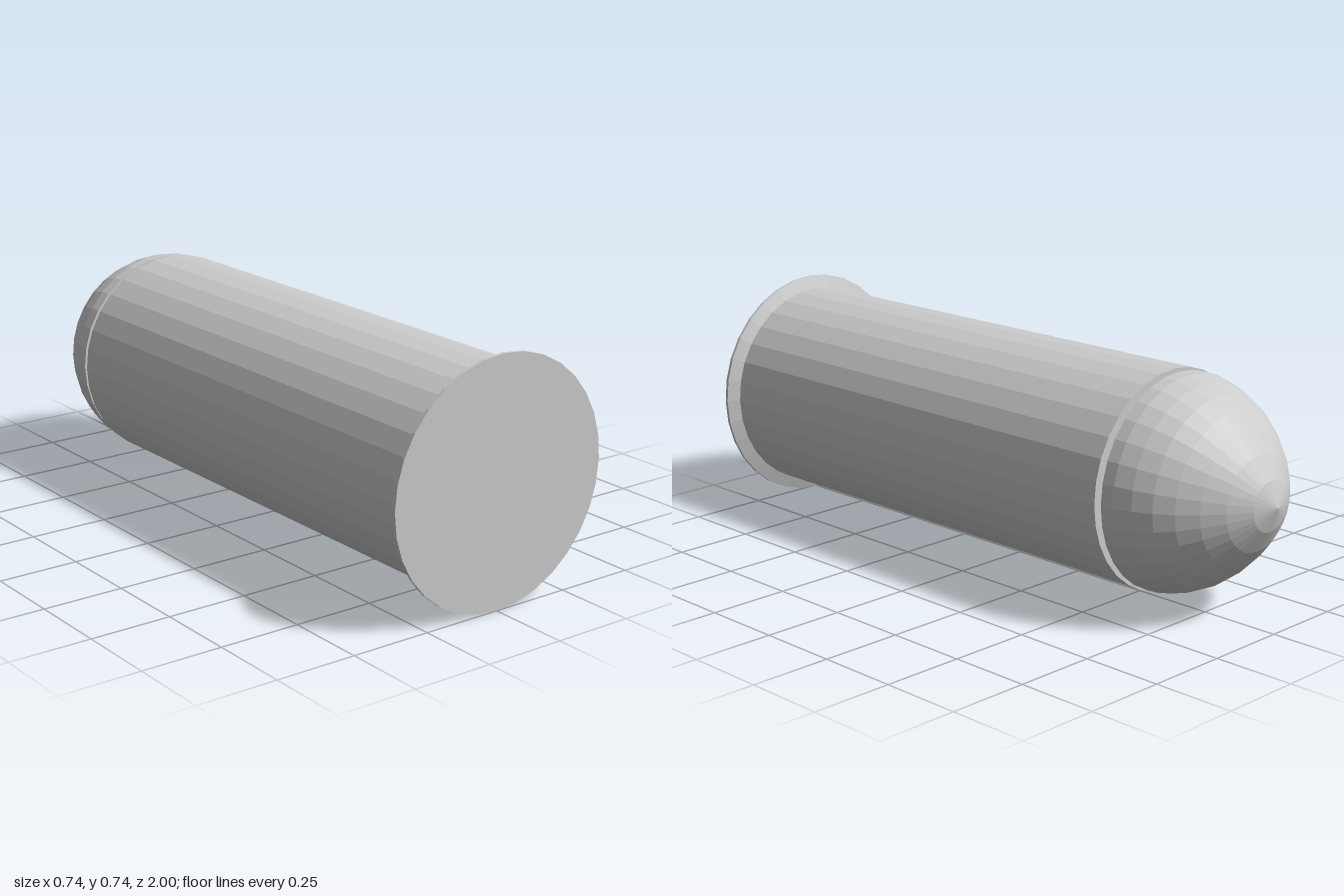
import * as THREE from 'three';

const SIDES = 32;
const AXIS_HEIGHT = 0.37;

// Turned part along z, from [radius, z] pairs running from front to back
function turned(name, profile) {
  const points = profile.map(([r, z]) => new THREE.Vector2(r, -z));
  const geometry = new THREE.LatheGeometry(points, SIDES);
  geometry.rotateX(-Math.PI / 2);
  const material = new THREE.MeshStandardMaterial({ color: 0xcccccc, flatShading: true });
  const mesh = new THREE.Mesh(geometry, material);
  mesh.name = name;
  mesh.position.y = AXIS_HEIGHT;
  return mesh;
}

export function createModel() {
  const model = new THREE.Group();
  model.name = 'cartridge';

  // Flat base with a bevelled rim, straight wall and front shoulder
  model.add(turned('case', [
    [0, 1], [0.37, 1], [0.37, 0.99], [0.33, 0.975], [0.33, -0.615], [0.295, -0.615],
  ]));

  // Narrow groove between case and tip
  model.add(turned('neck', [[0.295, -0.615], [0.295, -0.635]]));

  // Rounded nose ending in a blunt point
  model.add(turned('nose', [
    [0.295, -0.635], [0.325, -0.635], [0.323, -0.675], [0.307, -0.73], [0.281, -0.785],
    [0.245, -0.835], [0.198, -0.885], [0.142, -0.932], [0.075, -0.973], [0, -1],
  ]));

  return model;
}
